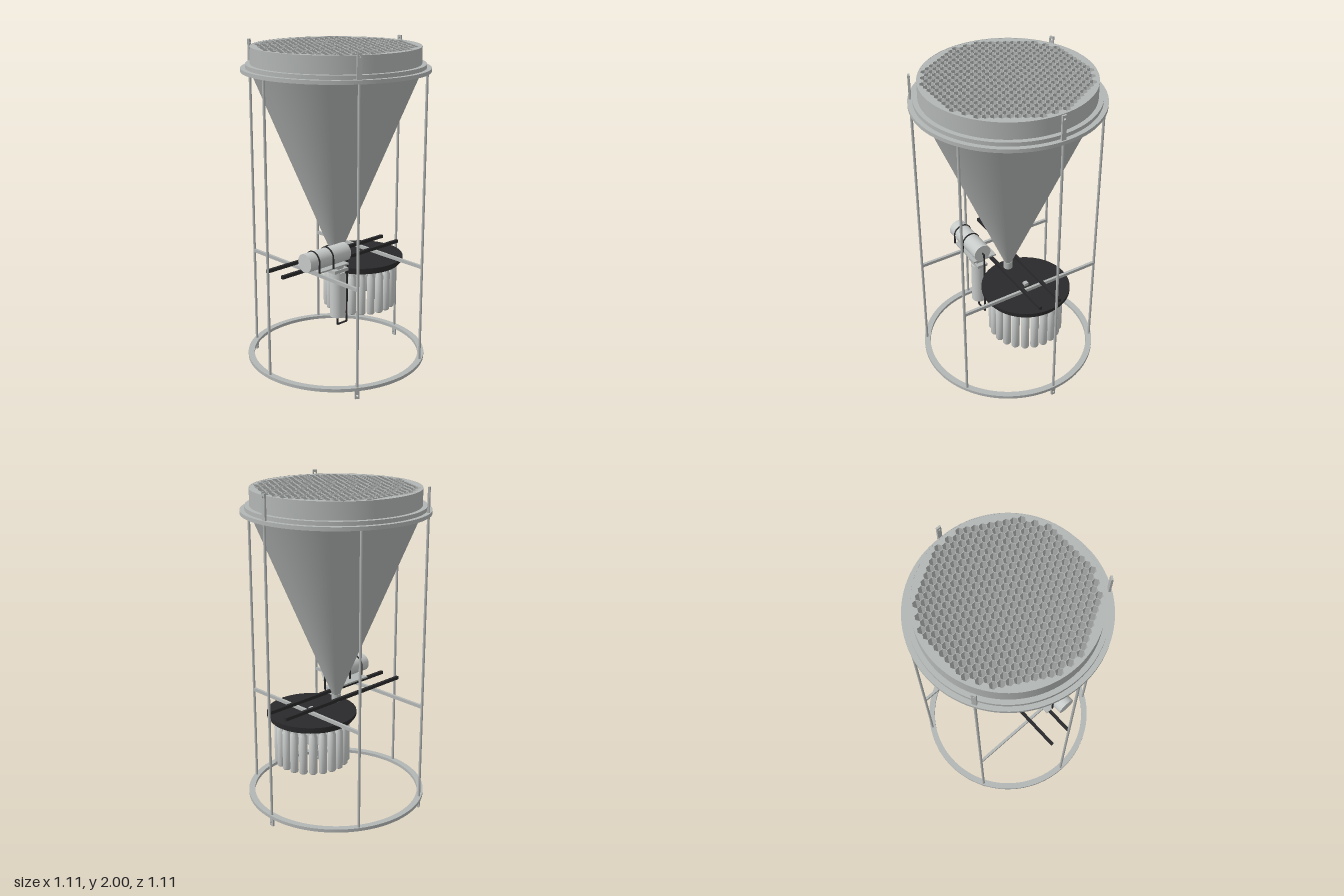
import * as THREE from 'three';
import { toCreasedNormals } from 'three/addons/utils/BufferGeometryUtils.js';

export function createModel() {
  const model = new THREE.Group();
  const material = (name, color, side = THREE.FrontSide) => {
    const m = new THREE.MeshStandardMaterial({ color, side });
    m.name = name;
    return m;
  };
  const metal = material('grey metal', 0xb2b6b4, THREE.DoubleSide);
  const pale = material('pale grey', 0xc6cac8);
  const dark = material('dark plastic', 0x29292b);

  const add = (name, geometry, mat, x = 0, y = 0, z = 0, parent = model) => {
    const mesh = new THREE.Mesh(geometry, mat);
    mesh.name = name;
    mesh.position.set(x, y, z);
    parent.add(mesh);
    return mesh;
  };
  const box = (name, mat, sx, sy, sz, x, y, z, parent) =>
    add(name, new THREE.BoxGeometry(sx, sy, sz), mat, x, y, z, parent);
  const cyl = (name, mat, r, y0, y1, x, z, parent, segments = 24) =>
    add(name, new THREE.CylinderGeometry(r, r, y1 - y0, segments), mat, x, (y0 + y1) / 2, z, parent);

  // Flat ring with a rectangular cross-section
  const ring = (name, inner, outer, y0, y1) => {
    const profile = [[inner, y0], [outer, y0], [outer, y1], [inner, y1], [inner, y0]];
    const g = new THREE.LatheGeometry(profile.map(p => new THREE.Vector2(...p)), 96);
    add(name, toCreasedNormals(g, 0.6), metal);
  };
  ring('lowerRing', 0.515, 0.553, 0.055, 0.075);
  ring('upperRing', 0.49, 0.553, 1.835, 1.857);
  ring('funnelFlange', 0.49, 0.525, 1.857, 1.88);
  ring('funnelRim', 0.493, 0.497, 1.84, 1.98);

  // Funnel cone and outlet
  add('funnelCone', new THREE.CylinderGeometry(0.497, 0.022, 1.14, 96, 1, true), metal, 0, 1.27, 0);
  cyl('funnelOutlet', metal, 0.028, 0.655, 0.705, 0, 0);

  // Honeycomb baffle inside the rim
  const disc = new THREE.Shape().absarc(0, 0, 0.4945, 0, Math.PI * 2);
  const pitch = 0.0415, cell = (pitch - 0.0025) / Math.sqrt(3);
  for (let row = -12; row <= 12; row++) {
    const cy = row * pitch * Math.sqrt(3) / 2;
    const shift = row % 2 ? 0.5 : 0;
    for (let col = -12; col <= 12; col++) {
      const cx = (col + shift) * pitch;
      if (Math.hypot(cx, cy) > 0.4645) continue;
      const points = [];
      for (let k = 0; k < 6; k++) {
        const a = Math.PI / 6 - k * Math.PI / 3;
        points.push(new THREE.Vector2(cx + cell * Math.cos(a), cy + cell * Math.sin(a)));
      }
      disc.holes.push(new THREE.Path(points));
    }
  }
  const baffle = new THREE.ExtrudeGeometry(disc, { depth: 0.12, bevelEnabled: false, curveSegments: 48 });
  baffle.rotateX(-Math.PI / 2);
  add('honeycombBaffle', baffle, metal, 0, 1.859, 0);

  // Six posts; every second one carries drilled lugs above and below
  const lugGeometry = height => {
    const s = new THREE.Shape();
    s.moveTo(-0.0135, 0).lineTo(0.0135, 0).lineTo(0.0135, height).lineTo(-0.0135, height).closePath();
    const hole = new THREE.Path().absarc(0, height - 0.02, 0.007, 0, Math.PI * 2, true);
    s.holes.push(hole);
    const g = new THREE.ExtrudeGeometry(s, { depth: 0.012, bevelEnabled: false, curveSegments: 10 });
    g.translate(0, 0, -0.006);
    return g;
  };
  for (let i = 0; i < 6; i++) {
    const post = new THREE.Group();
    post.name = 'post' + (i + 1);
    post.rotation.y = i * Math.PI / 3 + Math.PI / 2;
    model.add(post);
    cyl('postRod', metal, 0.008, 0.06, 1.845, 0, 0.538, post, 16);
    if (i % 2 === 0) {
      add('upperLug', lugGeometry(0.15), metal, 0, 1.85, 0.538, post);
      const lower = add('lowerLug', lugGeometry(0.06), metal, 0, 0.06, 0.538, post);
      lower.rotation.z = Math.PI;
    }
  }

  // Cross beams and rails
  for (const s of [-1, 1]) {
    box('crossBeam', metal, 0.016, 0.02, 0.932, s * 0.269, 0.677, 0);
    box('rail', dark, 0.965, 0.02, 0.018, -0.007, 0.698, s * 0.068);
  }

  // Rotating bottle carousel
  const carousel = new THREE.Group();
  carousel.name = 'bottleCarousel';
  carousel.position.x = 0.205;
  model.add(carousel);
  cyl('carouselTop', dark, 0.27, 0.637, 0.657, 0, 0, carousel, 64);
  cyl('carouselPlate', dark, 0.253, 0.615, 0.637, 0, 0, carousel, 64);
  box('carouselHub', metal, 0.026, 0.018, 0.026, 0, 0.666, 0, carousel);
  const bottleProfile = [[0, 0.335], [0.021, 0.335], [0.025, 0.341], [0.025, 0.575],
    [0.02, 0.585], [0.02, 0.616], [0, 0.616]].map(p => new THREE.Vector2(...p));
  const bottle = toCreasedNormals(new THREE.LatheGeometry(bottleProfile, 20), 0.6);
  for (let i = 0; i < 22; i++) {
    const a = i / 22 * Math.PI * 2;
    add('bottle', bottle, pale, 0.205 * Math.cos(a), 0, 0.205 * Math.sin(a), carousel);
  }

  // Horizontal housing on its mounting plate, held by straps
  const z = 0.145;
  box('mountingPlate', metal, 0.24, 0.01, 0.16, -0.2, 0.716, 0.12);
  const housing = new THREE.CylinderGeometry(0.056, 0.056, 0.318, 40);
  housing.rotateZ(Math.PI / 2);
  add('horizontalHousing', housing, pale, -0.224, 0.778, z);
  for (const x of [-0.318, -0.21]) {
    const arch = new THREE.TorusGeometry(0.057, 0.005, 8, 24, Math.PI);
    arch.rotateY(Math.PI / 2);
    add('strapArch', arch, dark, x, 0.778, z);
    for (const s of [-1, 1]) box('strapLeg', dark, 0.009, 0.062, 0.008, x, 0.748, z + s * 0.057);
  }

  // Vertical housing and its bracket
  cyl('verticalHousing', pale, 0.045, 0.38, 0.665, -0.123, z, model, 32);
  box('housingBracket', metal, 0.11, 0.02, 0.07, -0.123, 0.675, z);
  box('bracketStem', metal, 0.05, 0.03, 0.05, -0.123, 0.698, z);

  // Cable joining the two housings
  const route = [[-0.07, 0.778], [-0.046, 0.778], [-0.046, 0.322], [-0.125, 0.322], [-0.125, 0.385]];
  const cable = new THREE.CurvePath();
  for (let i = 0; i < route.length - 1; i++) {
    cable.add(new THREE.LineCurve3(new THREE.Vector3(...route[i], z), new THREE.Vector3(...route[i + 1], z)));
  }
  add('cable', new THREE.TubeGeometry(cable, 120, 0.006, 8), dark);

  return model;
}
